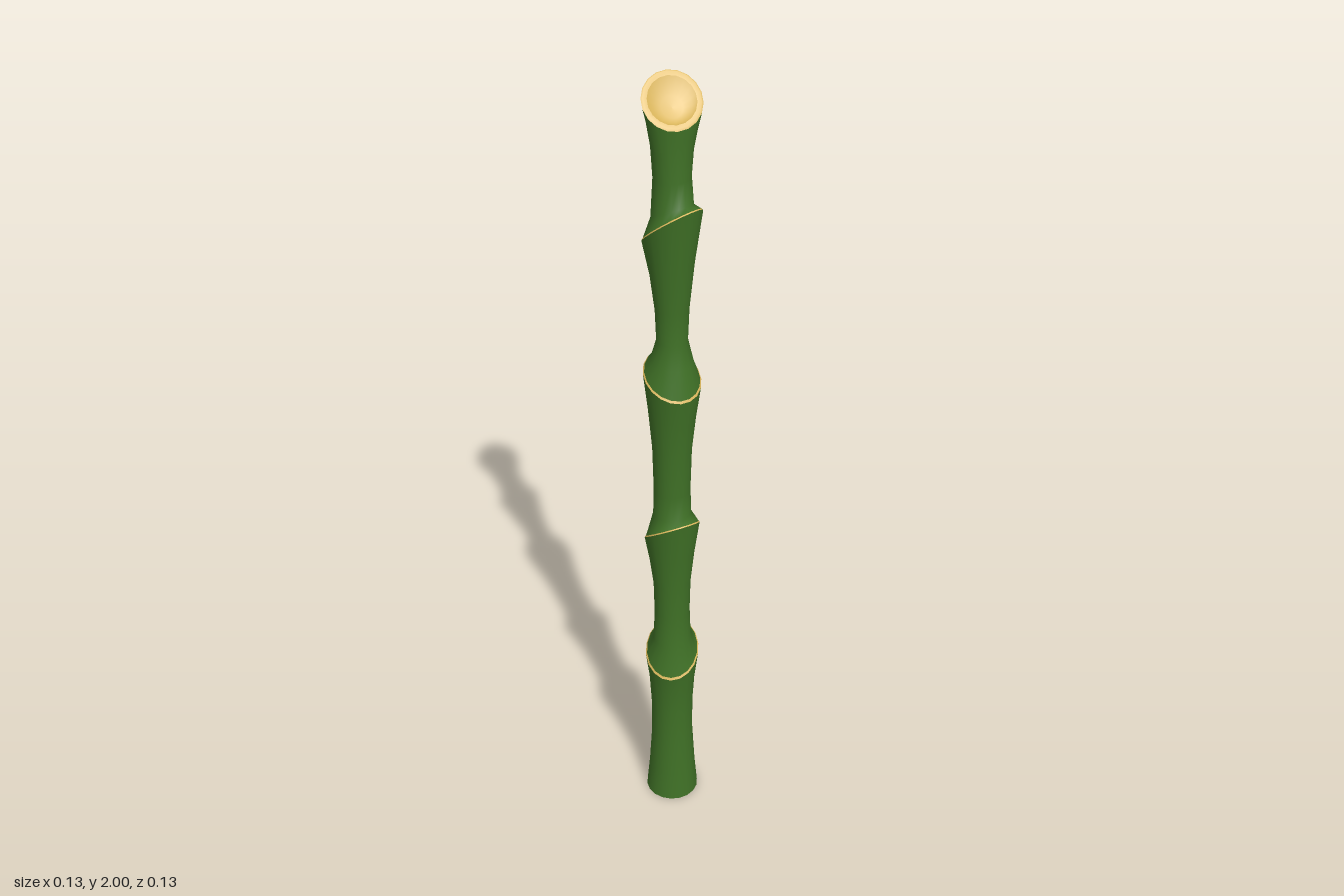
import * as THREE from 'three';

const SIDES = 18;

// A ring is [height, slope in x, slope in z, radius, squash along the slope].
function ringPoints([y, a, b, r, s = 1]) {
  const len = Math.hypot(a, b) || 1;
  const ux = a / len, uz = b / len;
  const out = [];
  for (let j = 0; j < SIDES; j++) {
    const t = (j / SIDES) * Math.PI * 2;
    let x = r * Math.cos(t), z = r * Math.sin(t);
    const d = (x * ux + z * uz) * (1 - s);
    x -= d * ux;
    z -= d * uz;
    out.push(x, y + a * x + b * z, z);
  }
  return out;
}

// Skin a list of rings into one smooth surface.
function loft(name, rings, material) {
  const index = [];
  for (let i = 0; i < rings.length - 1; i++) {
    for (let j = 0; j < SIDES; j++) {
      const k = (j + 1) % SIDES;
      const a = i * SIDES + j, b = i * SIDES + k;
      const c = a + SIDES, d = b + SIDES;
      index.push(a, c, b, b, c, d);
    }
  }
  const geo = new THREE.BufferGeometry();
  geo.setAttribute('position', new THREE.Float32BufferAttribute(rings.flatMap(ringPoints), 3));
  geo.setIndex(index);
  geo.computeVertexNormals();
  const mesh = new THREE.Mesh(geo, material);
  mesh.name = name;
  return mesh;
}

export function createModel() {
  const green = new THREE.MeshStandardMaterial({ color: 0x3f7026 });
  green.name = 'stalk green';
  const gold = new THREE.MeshStandardMaterial({ color: 0xd8b45a });
  gold.name = 'cut gold';

  const R = 0.067;
  const group = new THREE.Group();
  group.name = 'bambooStalk';

  // Slanted joints between the stalk sections.
  const nodes = [
    [0.468, 0.4, -0.6, R],
    [0.848, 0.0, 0.75, R],
    [1.283, 0.0, -0.52, R],
    [1.664, 0.2, 0.82, R],
  ];
  const cut = [1.949, 0.18, -1.19, R, 0.63];

  // Rings between the joints: narrow neck, waist, flare.
  const waists = [
    [[0.08, 0, 0, 0.06], [0.2, 0, 0, 0.053], [0.3, 0.1, -0.15, 0.053], [0.39, 0.25, -0.4, 0.058]],
    [[0.515, 0.1, -0.12, 0.047], [0.6, 0, 0, 0.044], [0.69, 0, 0.2, 0.046], [0.77, 0, 0.5, 0.055]],
    [[0.9, 0, 0.1, 0.046], [0.97, 0, 0, 0.044], [1.09, 0, -0.1, 0.047], [1.19, 0, -0.3, 0.056]],
    [[1.33, 0, -0.2, 0.048], [1.38, 0, 0, 0.036], [1.46, 0, 0.15, 0.039], [1.56, 0.1, 0.45, 0.05]],
    [[1.7, 0.1, 0.5, 0.047], [1.78, 0, 0, 0.042], [1.85, 0.06, -0.4, 0.047, 0.86], [1.905, 0.13, -0.85, 0.057, 0.72]],
  ];

  const raise = (ring, dy, r) => [ring[0] + dy, ring[1], ring[2], r, ring[4]];
  waists.forEach((waist, i) => {
    const start = i === 0 ? [0, 0, 0, R] : raise(nodes[i - 1], 0.004, R - 0.003);
    const end = i < nodes.length ? nodes[i] : cut;
    group.add(loft('section' + (i + 1), [start, ...waist, end], green));
  });

  // Fine gold line along each joint.
  nodes.forEach((node, i) => {
    group.add(loft('jointLine' + (i + 1), [node, raise(node, 0.004, R - 0.003)], gold));
  });

  // Slanted cut: rim and shallow hollow.
  group.add(loft('cutRim', [cut, raise(cut, 0.002, 0.063), raise(cut, 0.001, 0.054)], gold));
  group.add(loft('cutHollow', [
    raise(cut, 0.001, 0.054), raise(cut, -0.008, 0.042),
    raise(cut, -0.014, 0.024), raise(cut, -0.016, 0.0005),
  ], gold));

  // Slightly hollow underside.
  group.add(loft('underside', [
    [0.016, 0, 0, 0.0005], [0.012, 0, 0, 0.035], [0, 0, 0, R],
  ], green));

  return group;
}
